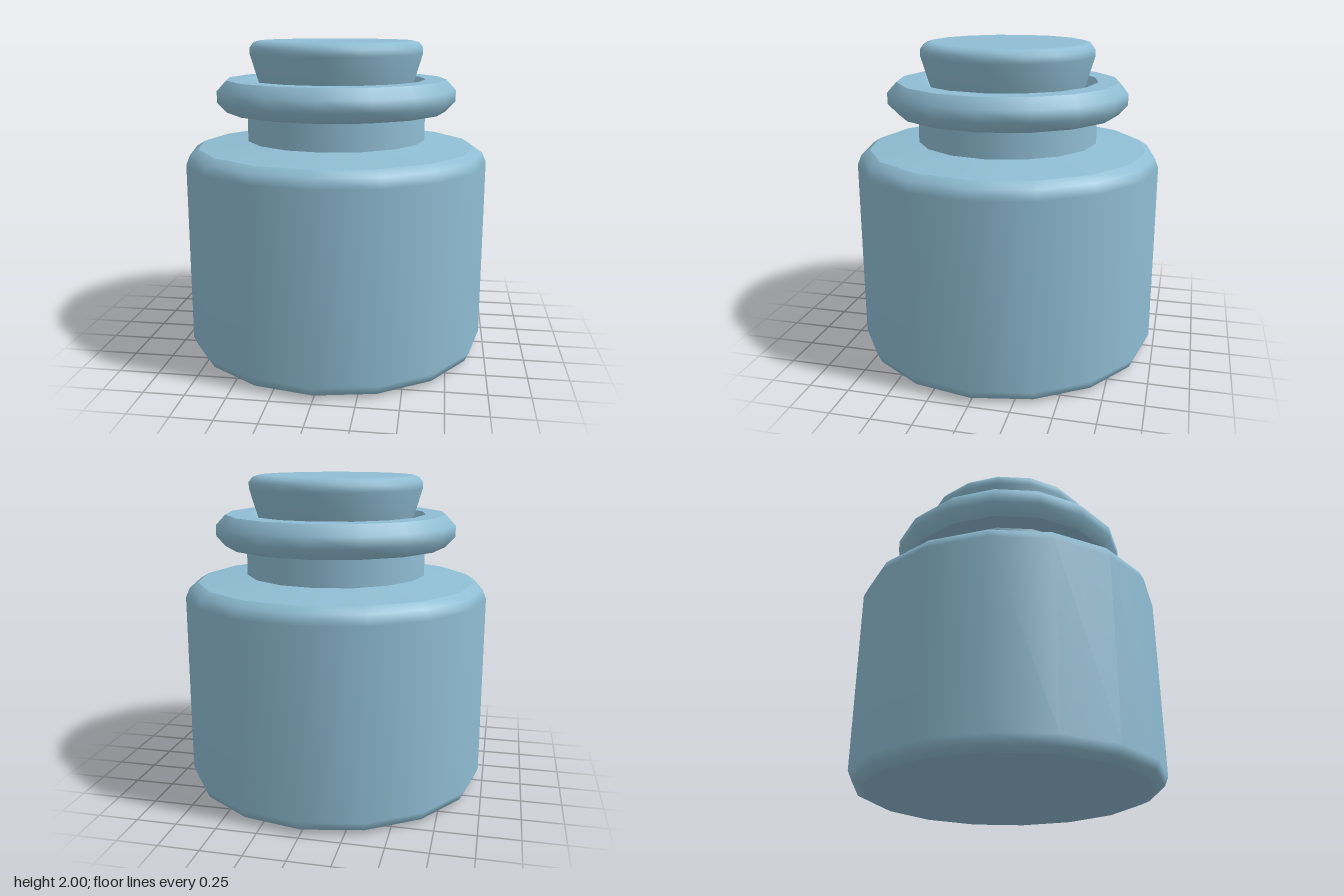
import * as THREE from 'three';

const SIDES = 16;
const material = new THREE.MeshStandardMaterial({ color: 0x8fbdd3 });

// One smooth-shaded turned surface; joins between surfaces stay sharp.
function turned(name, profile) {
  const points = profile.map(([r, y]) => new THREE.Vector2(r, y));
  const mesh = new THREE.Mesh(new THREE.LatheGeometry(points, SIDES), material);
  mesh.name = name;
  return mesh;
}

function part(name, surfaces) {
  const group = new THREE.Group();
  group.name = name;
  for (const [label, profile] of surfaces) group.add(turned(label, profile));
  return group;
}

export function createModel() {
  const model = new THREE.Group();
  model.name = 'stopperedJar';

  // Jar: profiles run up the outside, over the lip and down the mouth
  model.add(part('jar', [
    ['base', [[0, 0], [0.89, 0]]],
    ['body', [[0.89, 0], [0.945, 0.025], [0.97, 0.08], [0.97, 1.24], [0.945, 1.3], [0.89, 1.335]]],
    ['shoulder', [[0.89, 1.335], [0.575, 1.375]]],
    ['neck', [[0.575, 1.37], [0.575, 1.56]]],
    ['lipUnderside', [[0.575, 1.56], [0.705, 1.56]]],
    ['lipEdge', [[0.705, 1.56], [0.765, 1.625], [0.765, 1.695], [0.705, 1.76]]],
    ['lipTop', [[0.705, 1.76], [0.575, 1.76]]],
    ['mouth', [[0.575, 1.76], [0.53, 1.68], [0.44, 1.52]]],
  ]));

  // Tapered stopper seated in the mouth
  model.add(part('stopper', [
    ['stopperBase', [[0, 1.5], [0.41, 1.5]]],
    ['stopperSide', [[0.41, 1.5], [0.505, 1.76], [0.553, 1.92], [0.553, 1.96], [0.53, 1.99], [0.495, 2]]],
    ['stopperTop', [[0.495, 2], [0, 2]]],
  ]));

  return model;
}
